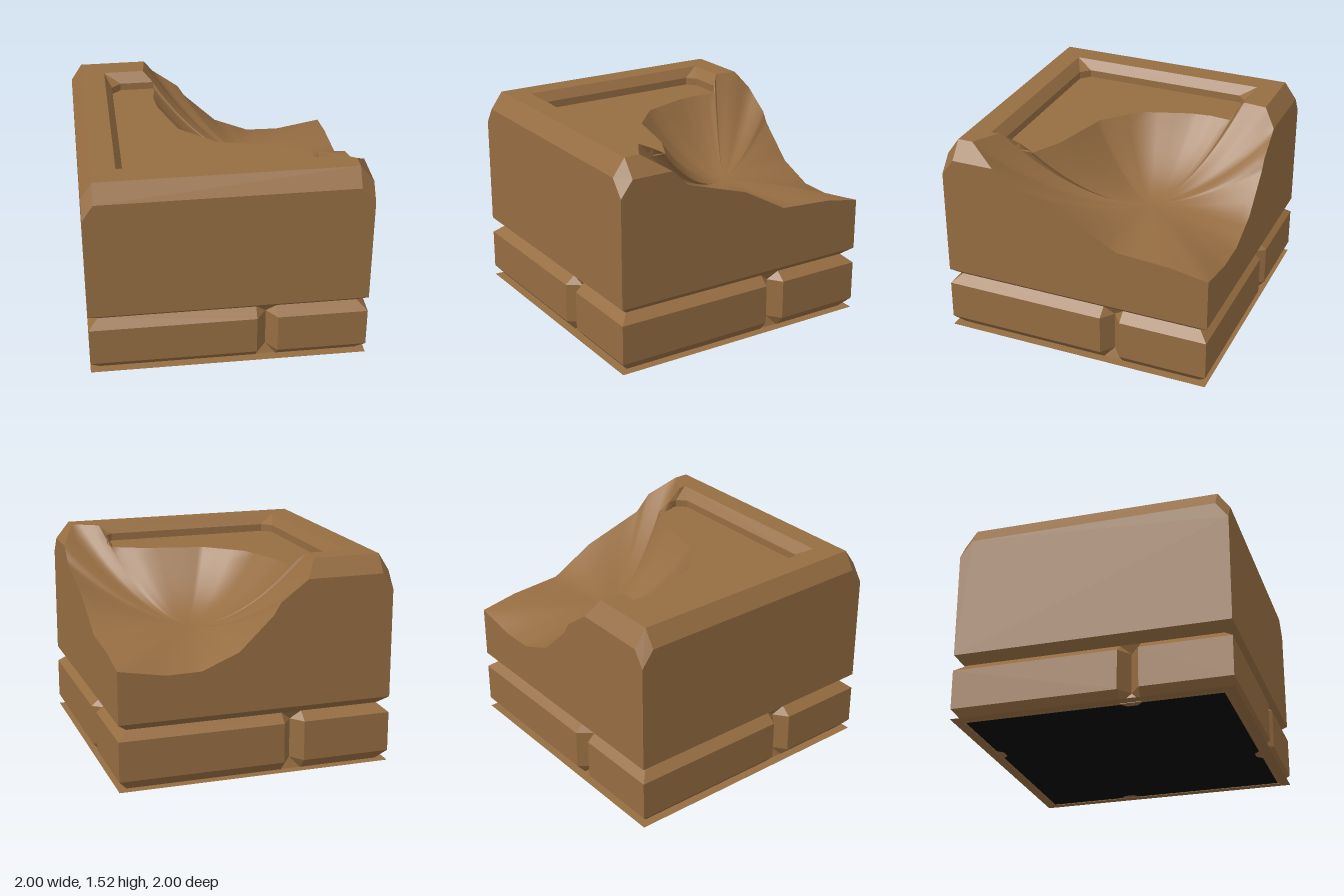
import * as THREE from 'three';

const stone = new THREE.MeshStandardMaterial({ color: 0x966d42, side: THREE.DoubleSide });
stone.name = 'stone';
const dark = new THREE.MeshStandardMaterial({ color: 0x050505 });
dark.name = 'dark';

// Collects flat polygons; each is wound to face the given direction.
class Facets {
  constructor() { this.pos = []; }
  add(pts, n) {
    const a = n.map(Math.abs), m = a.indexOf(Math.max(...a));
    const flat = pts.map(p => new THREE.Vector2(...p.filter((_, i) => i !== m)));
    const out = new THREE.Vector3(...n);
    for (const t of THREE.ShapeUtils.triangulateShape(flat, [])) {
      const [p, q, r] = t.map(i => new THREE.Vector3(...pts[i]));
      const nor = q.clone().sub(p).cross(r.clone().sub(p));
      const order = nor.dot(out) < 0 ? [p, r, q] : [p, q, r];
      for (const v of order) this.pos.push(v.x, v.y, v.z);
    }
  }
  mesh(name, material) {
    const g = new THREE.BufferGeometry();
    g.setAttribute('position', new THREE.Float32BufferAttribute(this.pos, 3));
    g.computeVertexNormals();
    const mesh = new THREE.Mesh(g, material);
    mesh.name = name;
    return mesh;
  }
}

const TOP = 1.525, CH = 1.40, LOW = 1.28, MID = 1.455, SLOT = 0.49;

// Edge of the broken corner: right face, rim, recess floor, rim, back face
const rightEdge = [[1, 0.87, -1], [1, 0.92, -0.72], [1, 0.945, -0.33], [1, 1.13, 0], [1, LOW, 0.48], [1, CH, 0.6]];
const rimRight = [[0.9, TOP, 0.8], [0.71, TOP, 0.69], [0.67, MID, 0.55]];
const floorEdge = [[0.67, CH, 0.45], [0.45, CH, 0.34], [0.13, CH, 0.26], [0, CH, 0.23], [-0.25, CH, 0],
  [-0.37, CH, -0.35], [-0.39, CH, -0.5], [-0.375, CH, -0.66]];
const rimBack = [[-0.38, MID, -0.68], [-0.45, TOP, -0.74], [-0.43, TOP, -0.91]];
const backEdge = [[-0.36, CH, -1], [-0.16, 1.25, -1], [-0.11, 1.167, -1], [0.14, 0.925, -1], [0.41, 0.815, -1], [0.66, 0.81, -1]];

function upperBlock() {
  const f = new Facets();
  // outer walls
  f.add([[-1, SLOT, 1], [1, SLOT, 1], [1, LOW, 1], [0.9, CH, 1], [-0.92, CH, 1], [-1, LOW, 1]], [0, 0, 1]);
  f.add([[-1, SLOT, 1], [-1, LOW, 1], [-1, CH, 0.91], [-1, CH, -0.91], [-1, LOW, -1], [-1, SLOT, -1]], [-1, 0, 0]);
  f.add([[1, SLOT, -1], ...rightEdge, [1, CH, 0.91], [1, LOW, 1], [1, SLOT, 1]], [1, 0, 0]);
  f.add([[-1, SLOT, -1], [-1, LOW, -1], [-0.92, CH, -1], ...backEdge, rightEdge[0], [1, SLOT, -1]], [0, 0, -1]);
  // bevels along the top edges
  f.add([[-0.92, CH, 1], [0.9, CH, 1], [0.9, TOP, 0.91], [-0.92, TOP, 0.91]], [0, 1, 1.3]);
  f.add([[-1, CH, 0.91], [-0.92, TOP, 0.91], [-0.92, TOP, -0.91], [-1, CH, -0.91]], [-1.3, 1, 0]);
  f.add([[-0.92, CH, -1], backEdge[0], rimBack[2], [-0.92, TOP, -0.91]], [0, 1, -1.3]);
  f.add([[1, CH, 0.91], [0.9, TOP, 0.91], rimRight[0], rightEdge[5]], [1.3, 1, 0]);
  // cut corners
  for (const [sx, x, sz] of [[-1, -0.92, 1], [-1, -0.92, -1], [1, 0.9, 1]]) {
    f.add([[sx, LOW, sz], [x, CH, sz], [x, TOP, 0.91 * sz], [sx, CH, 0.91 * sz]], [sx, 0.8, 1.1 * sz]);
  }
  // slot bevel under the block
  for (let i = 0; i < 4; i++) {
    const s = spin(i);
    f.add([[-1, SLOT, 1], [1, SLOT, 1], [0.93, 0.43, 0.93], [-0.93, 0.43, 0.93]].map(s), s([0, -1, 1.1]));
  }
  return f.mesh('upperBlock', stone);
}

// Quarter turns about the vertical axis
function spin(i) {
  return ([x, y, z]) => {
    for (let k = 0; k < i; k++) [x, z] = [z, -x];
    return [x, y, z];
  };
}

function recess() {
  const f = new Facets();
  // raised rim
  const rim = [[0.9, 0.8], [0.9, 0.91], [-0.92, 0.91], [-0.92, -0.91], [-0.43, -0.91], [-0.45, -0.74],
    [-0.75, -0.74], [-0.75, 0.75], [0.72, 0.75], [0.71, 0.69]];
  f.add(rim.map(([x, z]) => [x, TOP, z]), [0, 1, 0]);
  // sloped lip, short vertical wall and floor
  const outer = [[0.71, 0.69], [0.72, 0.75], [0.72, 0.75], [-0.75, 0.75], [-0.75, 0.75], [-0.75, -0.74], [-0.75, -0.74], [-0.45, -0.74]];
  const inner = [[0.67, 0.55], [0.67, 0.62], [0.61, 0.685], [-0.63, 0.685], [-0.70, 0.62], [-0.70, -0.62], [-0.63, -0.68], [-0.38, -0.68]];
  const at = ([x, z], y) => [x, y, z];
  for (let i = 0; i < inner.length - 1; i++) {
    const [a, b, c, d] = [outer[i], outer[i + 1], inner[i + 1], inner[i]];
    const nx = -(c[0] + d[0]) / 2, nz = -(c[1] + d[1]) / 2;
    const same = a[0] === b[0] && a[1] === b[1];
    const lip = [at(a, TOP), at(b, TOP), at(c, MID), at(d, MID)];
    if (same) lip.splice(1, 1);
    f.add(lip, [nx * 0.01, 1, nz * 0.01]);
    const dx = Math.abs(c[0] - d[0]), dz = Math.abs(c[1] - d[1]);
    f.add([at(d, MID), at(c, MID), at(c, CH), at(d, CH)], dx > dz ? [0, 0, Math.sign(nz)] : [Math.sign(nx), 0, 0]);
  }
  f.add([...inner.map(p => at(p, CH)), ...floorEdge.slice().reverse()], [0, 1, 0]);
  return f.mesh('recessAndRim', stone);
}

// Smooth scooped surface: the broken edge shrinks in rings to a low centre
function brokenScoop() {
  const edge = [...rightEdge, ...rimRight, ...floorEdge, ...rimBack, ...backEdge];
  const loop = [];
  edge.forEach((p, i) => {
    const q = edge[(i + 1) % edge.length];
    for (let k = 0; k < 3; k++) loop.push(p.map((v, j) => v + (q[j] - v) * k / 3));
  });
  const c = [0.3, 0.95, -0.3], rings = 14, n = loop.length, pos = [], idx = [];
  for (let r = 0; r <= rings; r++) {
    const t = 1 - r / rings * 0.999;
    for (const p of loop) {
      pos.push(c[0] + (p[0] - c[0]) * t, c[1] + (p[1] - c[1]) * Math.pow(t, 1.9), c[2] + (p[2] - c[2]) * t);
    }
  }
  for (let r = 0; r < rings; r++) {
    for (let i = 0; i < n; i++) {
      const a = r * n + i, b = r * n + (i + 1) % n;
      idx.push(a, b, a + n, b, b + n, a + n);
    }
  }
  const g = new THREE.BufferGeometry();
  g.setAttribute('position', new THREE.Float32BufferAttribute(pos, 3));
  g.setIndex(idx);
  g.computeVertexNormals();
  // keep the winding facing up
  if (g.attributes.normal.getY(n * 6) < 0) {
    g.setIndex(idx.slice().reverse());
    g.computeVertexNormals();
  }
  const mesh = new THREE.Mesh(g, stone);
  mesh.name = 'brokenScoop';
  return mesh;
}

// Lower course: bevelled blocks with one vertical joint on every side
function lowerCourse() {
  const f = new Facets();
  const deep = 0.9, [j0, jm, j1] = [0.2, 0.275, 0.35];
  for (let i = 0; i < 4; i++) {
    const s = spin(i), add = (pts, n) => f.add(pts.map(s), s(n));
    for (const [edge, joint, corner] of [[-1, j0, -0.93], [1, j1, 0.93]]) {
      add([[edge, 0.08, 1], [joint, 0.08, 1], [joint, 0.37, 1], [edge, 0.37, 1]], [0, 0, 1]);
      add([[edge, 0.37, 1], [joint, 0.37, 1], [joint, 0.43, 0.93], [corner, 0.43, 0.93]], [0, 1.2, 1]);
      add([[edge, 0.08, 1], [joint, 0.08, 1], [joint, 0, 0.93], [corner, 0, 0.93]], [0, -1, 1.1]);
      add([[joint, 0.08, 1], [jm, 0.08, deep], [jm, 0.37, deep], [joint, 0.37, 1]], [-edge, 0, 0.75]);
      add([[joint, 0.37, 1], [jm, 0.37, deep], [joint, 0.43, 0.93]], [-edge, 0.5, 0.75]);
      add([[joint, 0.08, 1], [jm, 0.08, deep], [joint, 0, 0.93]], [-edge, -0.5, 0.75]);
    }
    add([[j0, 0.43, 0.93], [j1, 0.43, 0.93], [jm, 0.37, deep]], [0, -0.5, 1]);
    add([[j0, 0, 0.93], [j1, 0, 0.93], [jm, 0.08, deep]], [0, 0.4, 1]);
  }
  return f.mesh('lowerCourse', stone);
}

export function createModel() {
  const model = new THREE.Group();
  model.name = 'brokenStoneBlock';
  model.add(upperBlock(), recess(), brokenScoop(), lowerCourse());

  // thin sheet under the block, dark in the middle of its underside
  const sheet = new Facets();
  sheet.add([[-1, 0.004, -1], [1, 0.004, -1], [1, 0.004, 1], [-1, 0.004, 1]], [0, 1, 0]);
  model.add(sheet.mesh('baseSheet', stone));
  const under = new Facets(), h = 0.915;
  for (let i = 0, pts = []; i < 4; i++) {
    pts.push(...[[-h, 0, h], [0.2, 0, h], [0.24, 0, h - 0.04], [0.31, 0, h - 0.04], [0.35, 0, h]].map(spin(i)));
    if (i === 3) under.add(pts, [0, -1, 0]);
  }
  model.add(under.mesh('underside', dark));
  return model;
}
